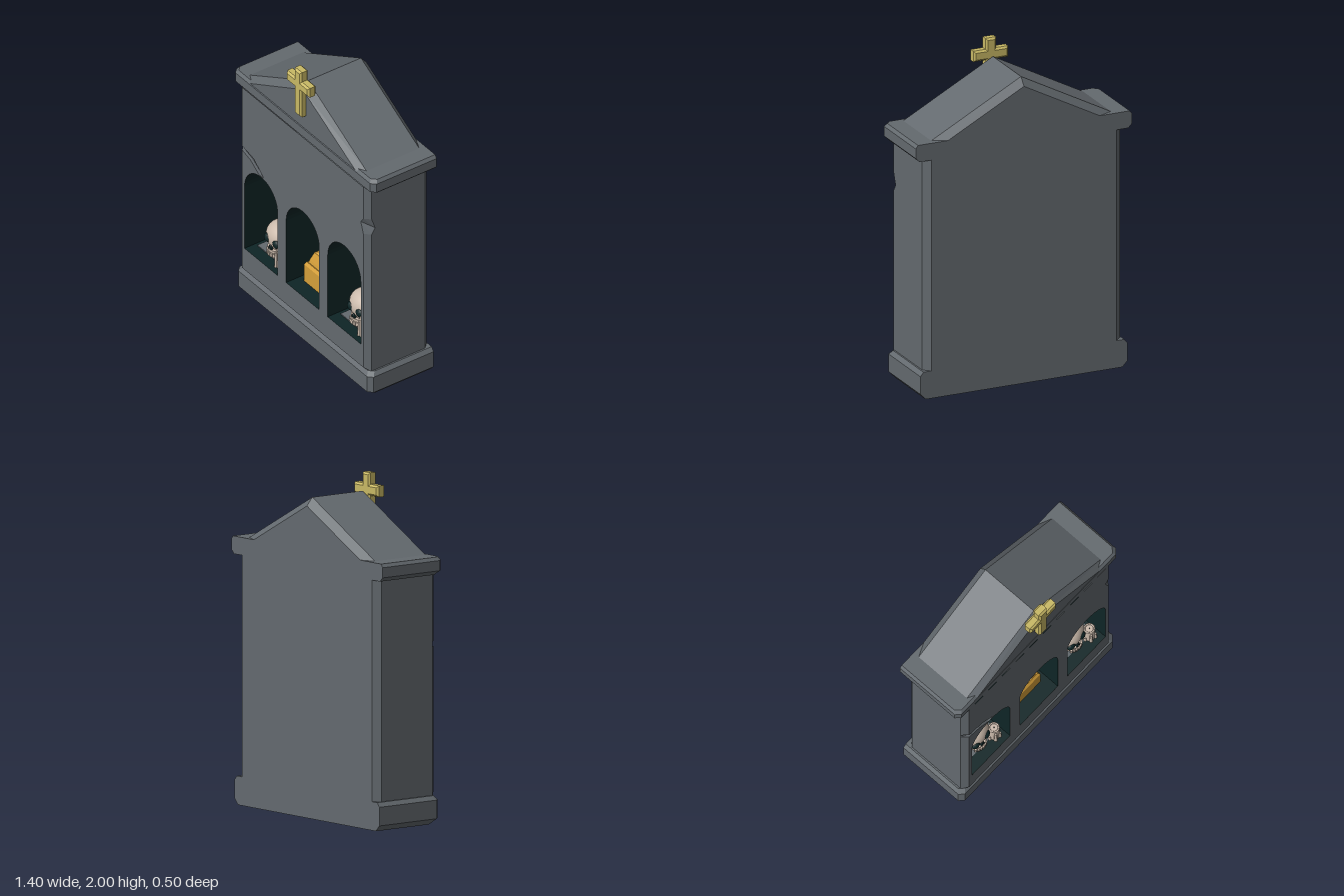
import * as THREE from 'three';

const material = (name, color, flat = true) => {
  const m = new THREE.MeshStandardMaterial({ color, flatShading: flat, side: THREE.DoubleSide });
  m.name = name;
  return m;
};

// Polygons of [x,y,z] corners, each filled as a fan from its first corner
function faces(polygons) {
  const pos = [];
  for (const p of polygons)
    for (let i = 1; i < p.length - 1; i++) pos.push(...p[0], ...p[i], ...p[i + 1]);
  const g = new THREE.BufferGeometry();
  g.setAttribute('position', new THREE.Float32BufferAttribute(pos, 3));
  g.computeVertexNormals();
  return g;
}

// Closed solid through matching rings of points
function loft(rings) {
  const out = [[...rings[0]].reverse(), rings[rings.length - 1]];
  for (let r = 0; r < rings.length - 1; r++) {
    const a = rings[r], b = rings[r + 1];
    a.forEach((p, i) => {
      const j = (i + 1) % a.length;
      out.push([p, a[j], b[j], b[i]]);
    });
  }
  return faces(out);
}

const BACK = -0.25, FRONT = 0.21, NICHE_BACK = -0.06, FLOOR = 0.345;

// Plan outline of a slab: square at the back, cut corners at the front
const slabRing = (y, w, zf, c = 0.028) => [
  [w, y, BACK], [-w, y, BACK], [-w, y, zf - c], [-w + c, y, zf], [w - c, y, zf], [w, y, zf - c],
];
const shape = (pts) => new THREE.Shape(pts.map(([x, y]) => new THREE.Vector2(x, y)));

function archPoints(cx, r = 0.165, spring = 0.795) {
  const pts = [[cx - r, FLOOR], [cx + r, FLOOR]];
  for (let i = 0; i <= 20; i++) {
    const a = (i / 20) * Math.PI;
    pts.push([cx + r * Math.cos(a), spring + r * Math.sin(a)]);
  }
  return pts;
}

export function createModel() {
  const root = new THREE.Group();
  root.name = 'stoneShrine';
  const stone = material('slateStone', 0x646a6f);
  const dark = material('nicheDark', 0x0e2526);
  const gold = material('urnGold', 0xd6a03a);
  const brass = material('crossBrass', 0xc9b965);
  const bone = material('boneAndWax', 0xcdbcad, false);
  const add = (name, geo, mat, parent = root, x = 0, y = 0, z = 0) => {
    const m = new THREE.Mesh(geo, mat);
    m.name = name;
    m.position.set(x, y, z);
    parent.add(m);
    return m;
  };

  // Base and cornice slabs
  add('base', loft([
    slabRing(0, 0.637, 0.175), slabRing(0.035, 0.67, FRONT),
    slabRing(0.145, 0.67, FRONT), slabRing(0.17, 0.65, 0.19),
  ]), stone);
  add('cornice', loft([
    slabRing(1.48, 0.675, 0.185), slabRing(1.505, 0.7, FRONT),
    slabRing(1.565, 0.7, FRONT), slabRing(1.585, 0.685, 0.195),
  ]), stone);

  // Gable roof, bevelled at both ends
  const gable = (z, w, bottom, top) => [[-w, bottom, z], [w, bottom, z], [0, top, z]];
  add('roof', loft([
    gable(BACK, 0.51, 1.575, 1.845), gable(-0.21, 0.6, 1.575, 1.893),
    gable(0.17, 0.6, 1.575, 1.893), gable(FRONT, 0.525, 1.575, 1.845),
  ]), stone);

  // Front wall with arched openings, a crack on one side and a chip on the other
  const W = 0.64, E = 0.605, LOW = 0.19, TOP = 1.5, ZC = 0.175;
  const crack = [[-E, 1.045], [-0.52, 1.022], [-0.435, 0.966], [-0.385, 0.966], [-0.49, 1.05], [-E, 1.075]];
  const wall = shape([[-E, LOW], [E, LOW], [E, 1.16], [0.58, 1.235], [E, 1.27], [E, TOP], [-E, TOP],
    ...[...crack].reverse()]);
  const niches = [-0.415, 0, 0.415];
  for (const cx of niches)
    wall.holes.push(new THREE.Path(archPoints(cx).map(([x, y]) => new THREE.Vector2(x, y))));
  add('frontWall', new THREE.ShapeGeometry(wall), stone, root, 0, 0, FRONT);

  // Crack recess
  const crackDepth = 0.018;
  add('crackFloor', new THREE.ShapeGeometry(shape(crack)), stone, root, 0, 0, FRONT - crackDepth);
  add('crackSides', faces(crack.slice(0, -1).map(([x, y], i) => {
    const [u, v] = crack[i + 1];
    return [[x, y, FRONT], [x, y, FRONT - crackDepth], [u, v, FRONT - crackDepth], [u, v, FRONT]];
  })), stone);

  // Side, corner and back walls, and the undercut at the foot
  const foot = 0.165, chip = [W, 1.2, 0.15], chipFront = [0.58, 1.235, FRONT];
  add('bodyWalls', faces([
    [[-W, foot, -0.21], [-W, foot, ZC], [-W, TOP, ZC], [-W, TOP, -0.21]],
    [chip, [W, 1.16, ZC], [W, foot, ZC], [W, foot, -0.21], [W, TOP, -0.21], [W, TOP, ZC], [W, 1.27, ZC]],
    [[W, foot, ZC], [W, 1.16, ZC], [E, 1.16, FRONT], [E, LOW, FRONT], [E, foot, 0.18]],
    [[E, 1.27, FRONT], [W, 1.27, ZC], [W, TOP, ZC], [E, TOP, FRONT]],
    [[E, 1.27, FRONT], chipFront, chip, [W, 1.27, ZC]],
    [chipFront, [E, 1.16, FRONT], [W, 1.16, ZC], chip],
    [[-W, foot, ZC], [-E, foot, 0.18], [-E, LOW, FRONT], [-E, 1.045, FRONT], [-W, 1.05, ZC]],
    [[-W, 1.05, ZC], [-E, 1.045, FRONT], [-E, 1.045, FRONT - crackDepth], [-W, 1.065, ZC - 0.01]],
    [[-W, 1.08, ZC], [-E, 1.075, FRONT], [-E, 1.075, FRONT - crackDepth], [-W, 1.065, ZC - 0.01]],
    [[-E, 1.045, FRONT - crackDepth], [-E, 1.075, FRONT - crackDepth], [-W, 1.065, ZC - 0.01]],
    [[-W, 1.08, ZC], [-E, 1.075, FRONT], [-E, TOP, FRONT], [-W, TOP, ZC]],
    [[-E, foot, 0.18], [E, foot, 0.18], [E, LOW, FRONT], [-E, LOW, FRONT]],
    [[W, foot, -0.21], [0.6, foot, BACK], [0.6, TOP, BACK], [W, TOP, -0.21]],
    [[-0.6, foot, BACK], [-W, foot, -0.21], [-W, TOP, -0.21], [-0.6, TOP, BACK]],
    [[0.6, foot, BACK], [-0.6, foot, BACK], [-0.6, TOP, BACK], [0.6, TOP, BACK]],
  ]), stone);

  // Dark niche linings
  for (const cx of niches) {
    const pts = archPoints(cx);
    add('nicheBack', new THREE.ShapeGeometry(shape(pts)), dark, root, 0, 0, NICHE_BACK);
    add('nicheLining', faces(pts.map(([x, y], i) => {
      const [u, v] = pts[(i + 1) % pts.length];
      return [[x, y, FRONT], [u, v, FRONT], [u, v, NICHE_BACK], [x, y, NICHE_BACK]];
    })), dark);
  }

  // Skull with a candle in each outer niche
  for (const cx of [niches[0], niches[2]]) {
    const g = new THREE.Group();
    g.name = 'skullAndCandle';
    g.position.set(cx, FLOOR, 0);
    root.add(g);
    add('floorSlab', new THREE.BoxGeometry(0.28, 0.006, 0.19), stone, g, 0, 0.004, 0.04);
    add('cranium', new THREE.SphereGeometry(1, 28, 18), bone, g, 0, 0.122, 0.045).scale.set(0.117, 0.098, 0.1);
    add('upperJaw', new THREE.CylinderGeometry(0.064, 0.06, 0.045, 16), bone, g, 0, 0.043, 0.085);
    add('lowerJaw', new THREE.CylinderGeometry(0.058, 0.05, 0.022, 16), bone, g, 0, 0.014, 0.083);
    for (const s of [-1, 1]) {
      add('eyeSocket', new THREE.SphereGeometry(1, 16, 12), dark, g, s * 0.043, 0.118, 0.128).scale.set(0.031, 0.029, 0.022);
      const n = add('nostril', new THREE.SphereGeometry(1, 8, 6), dark, g, s * 0.006, 0.078, 0.139);
      n.scale.set(0.008, 0.017, 0.013);
      n.rotation.z = s * 0.25;
    }
    for (let i = -3; i <= 3; i++) {
      const a = i * 0.26;
      add('tooth', new THREE.BoxGeometry(0.014, 0.025, 0.012), bone, g,
        0.064 * Math.sin(a), 0.034, 0.085 + 0.064 * Math.cos(a)).rotation.y = a;
    }
    // Wax stick with drips around it
    add('candle', new THREE.CylinderGeometry(0.033, 0.036, 0.115, 14), bone, g, 0.107, 0.06, 0.135);
    add('candleRim', new THREE.TorusGeometry(0.029, 0.006, 6, 16).rotateX(Math.PI / 2), bone, g, 0.107, 0.118, 0.135);
    add('wick', new THREE.CylinderGeometry(0.003, 0.003, 0.012, 6), dark, g, 0.107, 0.122, 0.135);
    [0.09, 0.055, 0.1, 0.04, 0.075, 0.06].forEach((h, i) => {
      const a = i * Math.PI / 3;
      add('waxDrip', new THREE.CylinderGeometry(0.008, 0.011, h, 8), bone, g,
        0.107 + 0.036 * Math.cos(a), h / 2, 0.135 + 0.036 * Math.sin(a));
    });
  }

  // Golden urn: box foot, tapering lid and low cap
  const rect = (y, w, d) => [[-w, y, 0.03 - d], [-w, y, 0.03 + d], [w, y, 0.03 + d], [w, y, 0.03 - d]];
  add('urnBox', loft([rect(FLOOR, 0.12, 0.085), rect(0.465, 0.12, 0.085), rect(0.485, 0.107, 0.073)]), gold);
  add('urnLid', loft([
    rect(0.475, 0.1, 0.07), rect(0.505, 0.092, 0.064), rect(0.565, 0.068, 0.046), rect(0.59, 0.012, 0.01),
  ]), gold);

  // Bevelled cross on the gable
  const b = 0.012, w = 0.034 - b, a = 0.112 - b, lo = 1.865 + b, hi = 1.932 - b, bot = 1.675 + b, top = 2 - b;
  const cross = new THREE.ExtrudeGeometry(shape([
    [-w, bot], [w, bot], [w, lo], [a, lo], [a, hi], [w, hi], [w, top],
    [-w, top], [-w, hi], [-a, hi], [-a, lo], [-w, lo],
  ]), { depth: 0.036, bevelEnabled: true, bevelSize: b, bevelThickness: b, bevelSegments: 1 });
  add('cross', cross, brass, root, 0, 0, 0.202);

  return root;
}
